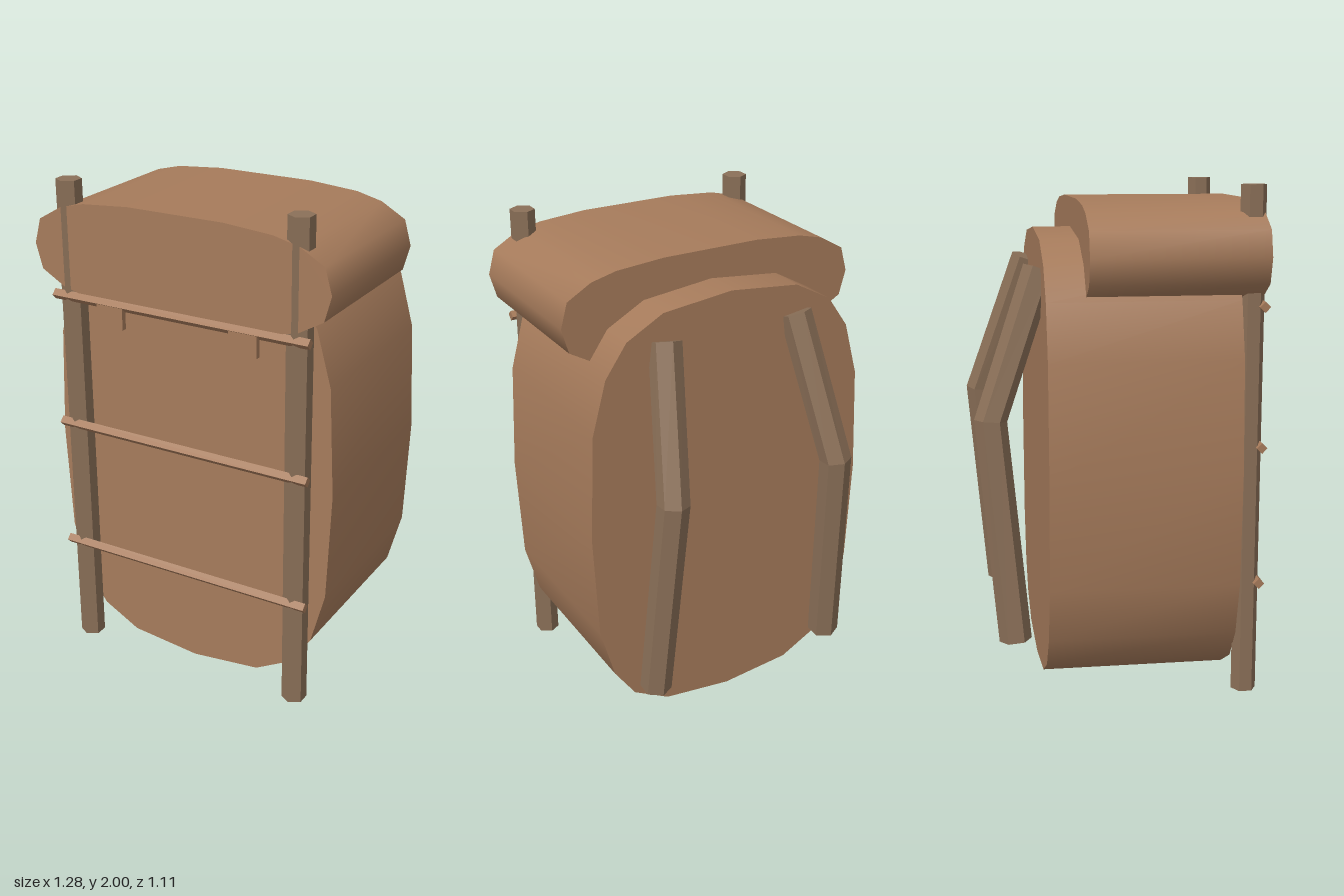
import * as THREE from 'three';
import { toCreasedNormals } from 'three/addons/utils/BufferGeometryUtils.js';

const leather = new THREE.MeshStandardMaterial({ name: 'tanLeather', color: 0xa67b5b });
const wood = new THREE.MeshStandardMaterial({ name: 'greyBrownWood', color: 0x8b7058 });

function add(parent, name, geometry, material, x = 0, y = 0, z = 0) {
  const mesh = new THREE.Mesh(geometry, material);
  mesh.name = name;
  mesh.position.set(x, y, z);
  parent.add(mesh);
  return mesh;
}

function faceted(geometry) {
  const g = geometry.toNonIndexed();
  g.computeVertexNormals();
  return g;
}

// Extrudes a doubly symmetric outline, given by its upper right quarter
// (from the right tip up to the top), between two z planes.
function rounded(quarter, centreY, zBack, zFront) {
  const upper = [...quarter, ...quarter.filter(([x]) => x > 0).reverse().map(([x, y]) => [-x, y])];
  const lower = upper.slice(1, -1).reverse().map(([x, y]) => [x, -y]);
  const points = [...upper, ...lower].map(([x, y]) => new THREE.Vector2(x, y + centreY));
  const geometry = new THREE.ExtrudeGeometry(new THREE.Shape(points), {
    depth: zFront - zBack, bevelEnabled: false,
  });
  geometry.translate(0, 0, zBack);
  return toCreasedNormals(geometry, 1.2);
}

// Bends a six-sided bar along a path, with mitred joints.
function bentBar(path, radius) {
  const last = path.length - 1;
  const geometry = new THREE.CylinderGeometry(radius, radius, last, 6, last);
  const pos = geometry.attributes.position;
  const frames = path.map((p, i) => {
    const tangent = path[Math.min(i + 1, last)].clone().sub(path[Math.max(i - 1, 0)]).normalize();
    const side = new THREE.Vector3(1, 0, 0).addScaledVector(tangent, -tangent.x).normalize();
    return { p, side, out: side.clone().cross(tangent) };
  });
  for (let i = 0; i < pos.count; i++) {
    const f = frames[Math.round(pos.getY(i) + last / 2)];
    const v = f.p.clone().addScaledVector(f.side, pos.getX(i)).addScaledVector(f.out, pos.getZ(i));
    pos.setXYZ(i, v.x, v.y, v.z);
  }
  return faceted(geometry);
}

export function createModel() {
  const model = new THREE.Group();
  model.name = 'framedBackpack';

  // Main bag
  add(model, 'bag', rounded(
    [[0.62, 0], [0.6, 0.44], [0.54, 0.66], [0.45, 0.79], [0.295, 0.875], [0, 0.907]],
    0.912, -0.29, 0.452), leather);

  // Bedroll across the top
  add(model, 'bedroll', rounded(
    [[0.638, 0], [0.61, 0.1], [0.51, 0.158], [0.405, 0.184], [0.204, 0.2]],
    1.738, -0.138, 0.54), leather);

  // Rungs of the frame
  for (const y of [0.455, 1.0, 1.545]) {
    const rung = faceted(new THREE.CylinderGeometry(0.021, 0.021, 1.115, 4));
    rung.rotateZ(Math.PI / 2);
    add(model, 'frameRung', rung, leather, 0, y, 0.538);
  }

  for (const s of [-1, 1]) {
    // Upright poles of the frame
    add(model, 'framePole', faceted(new THREE.CylinderGeometry(0.05, 0.05, 2, 6)), wood, s * 0.495, 1, 0.498);

    // Strap ends holding the bedroll
    add(model, 'bedrollStrapEnd', new THREE.BoxGeometry(0.118, 0.09, 0.022), leather, s * 0.292, 1.5, 0.546);

    // Shoulder straps, listed from bottom to top
    const path = [[0.415, 0.22, -0.41], [0.372, 1.1, -0.492], [0.29, 1.675, -0.292]]
      .map(([x, y, z]) => new THREE.Vector3(s * x, y, z));
    add(model, 'shoulderStrap', bentBar(path, 0.064), wood);
  }
  return model;
}
